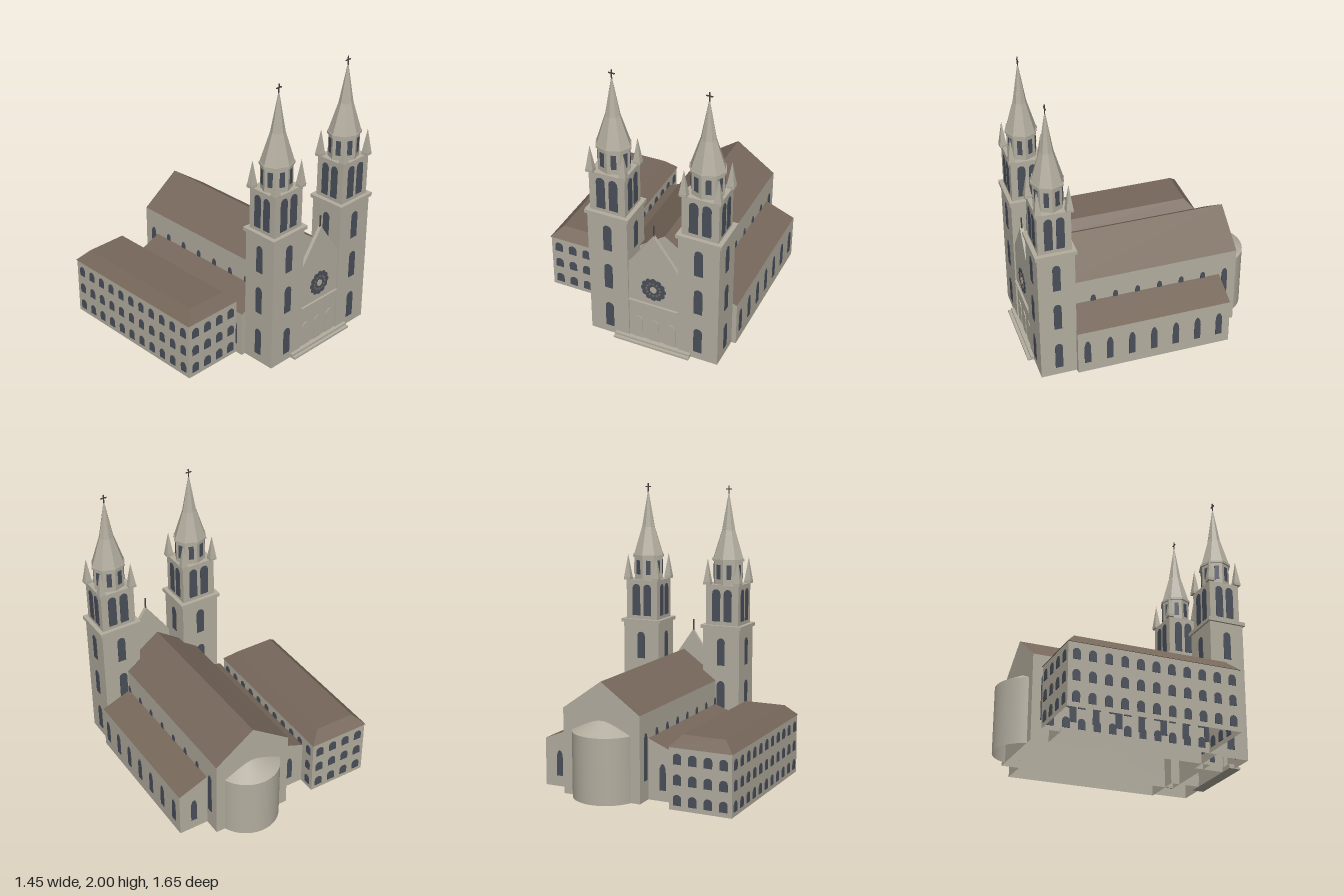
import * as THREE from 'three';

const mat = (name, color) => {
  const m = new THREE.MeshStandardMaterial({ color, side: THREE.DoubleSide });
  m.name = name;
  return m;
};

export function createModel() {
  const stone = mat('stone', 0xb3ad9f);
  const roofing = mat('roofBrown', 0x76675a);
  const glass = mat('windowGlass', 0x4a4f5a);
  const iron = mat('iron', 0x45443f);
  const model = new THREE.Group();
  const NX = 0.22; // axis of the church

  const group = (name, parent = model) => {
    const g = new THREE.Group();
    g.name = name;
    parent.add(g);
    return g;
  };
  const add = (parent, name, geo, m, x = 0, y = 0, z = 0) => {
    const mesh = new THREE.Mesh(geo, m);
    mesh.name = name;
    mesh.position.set(x, y, z);
    parent.add(mesh);
    return mesh;
  };
  const flat = (geo) => {
    const g = geo.index ? geo.toNonIndexed() : geo;
    g.computeVertexNormals();
    return g;
  };
  const block = (parent, name, m, x0, x1, y0, y1, z0, z1) =>
    add(parent, name, new THREE.BoxGeometry(x1 - x0, y1 - y0, z1 - z0), m,
      (x0 + x1) / 2, (y0 + y1) / 2, (z0 + z1) / 2);

  // Box without a floor
  const shell = (w, h, d) => {
    const g = new THREE.BoxGeometry(w, h, d);
    const idx = Array.from(g.index.array);
    idx.splice(18, 6);
    g.setIndex(idx);
    g.clearGroups();
    return g;
  };

  // Floorless building: profile points in x,y run along z; one material per side
  const prism = (parent, name, pts, mats, z0, z1) => {
    const outline = new THREE.Shape(pts.map(([x, y]) => new THREE.Vector2(x, y)));
    add(parent, name + 'FrontWall', new THREE.ShapeGeometry(outline), stone, 0, 0, z1);
    add(parent, name + 'BackWall', new THREE.ShapeGeometry(outline), stone, 0, 0, z0);
    mats.forEach((m, i) => {
      const [ax, ay] = pts[i], [bx, by] = pts[i + 1];
      const g = new THREE.BufferGeometry();
      g.setAttribute('position', new THREE.Float32BufferAttribute(
        [ax, ay, z1, ax, ay, z0, bx, by, z0, ax, ay, z1, bx, by, z0, bx, by, z1], 3));
      g.computeVertexNormals();
      add(parent, name + (m === roofing ? 'Roof' : 'SideWall'), g, m);
    });
  };

  // Arched plate standing on y = 0, centred on its wall plane
  const archGeo = (w, h, rise = w / 2) => {
    const s = new THREE.Shape(), r = w / 2;
    s.moveTo(-r, 0);
    s.lineTo(r, 0);
    for (let i = 0; i <= 6; i++) {
      const a = (i / 6) * Math.PI;
      s.lineTo(r * Math.cos(a), h - rise + rise * Math.sin(a));
    }
    const g = new THREE.ExtrudeGeometry(s, { depth: 0.008, bevelEnabled: false });
    return g.translate(0, 0, -0.004);
  };
  const windowAt = (parent, geo, x, y, z, turn = 0) => {
    add(parent, 'window', geo, glass, x, y, z).rotation.y = turn;
  };
  const Q = Math.PI / 2;

  // Nave
  const nave = group('nave');
  prism(nave, 'nave', [[0.505, 0], [0.505, 0.59], [NX, 0.792], [-0.065, 0.59], [-0.065, 0]],
    [stone, roofing, roofing, stone], -0.677, 0.593);
  const clerestory = archGeo(0.035, 0.07, 0.03), choirWin = archGeo(0.042, 0.32, 0.05);
  for (const x of [0.505, -0.065]) {
    for (let i = 0; i < 7; i++) windowAt(nave, clerestory, x, 0.395, 0.515 - i * 0.158, Q);
    windowAt(nave, choirWin, x, 0.14, -0.595, Q);
  }

  // Side aisles
  const aisleWin = archGeo(0.045, 0.18, 0.06);
  for (const s of [1, -1]) {
    const aisle = group(s > 0 ? 'leftAisle' : 'rightAisle');
    const px = (d) => NX + s * d;
    prism(aisle, 'aisle', [[px(0.5), 0], [px(0.5), 0.33], [px(0.284), 0.417], [px(0.284), 0]],
      [stone, roofing], -0.555, 0.533);
    for (let i = 0; i < 7; i++) windowAt(aisle, aisleWin, px(0.5), 0.075, 0.465 - i * 0.157, Q);
    windowAt(aisle, aisleWin, px(0.39), 0.075, -0.555);
  }

  // Apse: arc of a round wall with a shallow conical cap
  const apse = group('apse');
  const half = 1.21;
  add(apse, 'apseWall', new THREE.CylinderGeometry(0.232, 0.232, 0.45, 24, 1, true,
    Math.PI - half, half * 2), stone, NX, 0.225, -0.595);
  add(apse, 'apseRoof', new THREE.ConeGeometry(0.232, 0.124, 24, 1, true,
    Math.PI - half, half * 2), stone, NX, 0.512, -0.595);

  // Front wall with gable, rose window, portals and steps
  const front = group('facade');
  const gable = new THREE.Shape([[0.03, 0], [0.41, 0], [0.41, 0.642], [NX, 0.912], [0.03, 0.642]]
    .map(([x, y]) => new THREE.Vector2(x, y)));
  add(front, 'gableWall', new THREE.ExtrudeGeometry(gable, { depth: 0.025, bevelEnabled: false }),
    stone, 0, 0, 0.745);
  block(front, 'stringCourse', stone, 0.04, 0.40, 0.332, 0.346, 0.765, 0.786);
  block(front, 'finial', iron, NX - 0.004, NX + 0.004, 0.9, 0.99, 0.753, 0.761);
  for (const dx of [-0.12, 0, 0.12]) add(front, 'portal', archGeo(0.075, 0.19), stone, NX + dx, 0.02, 0.771);
  block(front, 'lowerStep', stone, -0.06, 0.495, 0, 0.015, 0.74, 0.825);
  block(front, 'upperStep', stone, -0.06, 0.495, 0.015, 0.03, 0.74, 0.803);

  const rose = group('roseWindow', front);
  rose.position.set(NX, 0.475, 0.771);
  const disc = (name, r, m, x, y, z) =>
    add(rose, name, new THREE.CylinderGeometry(r, r, 0.004, 16).rotateX(Q), m, x, y, z);
  disc('roseGlass', 0.076, glass, 0, 0, 0);
  disc('roseHub', 0.024, stone, 0, 0, 0.005);
  for (let i = 0; i < 12; i++) {
    const a = (i / 12) * Math.PI * 2;
    disc('rosePetal', 0.021, glass, 0.07 * Math.cos(a), 0.07 * Math.sin(a), 0.002);
    disc('rosePane', 0.008, roofing, 0.05 * Math.cos(a), 0.05 * Math.sin(a), 0.005);
  }

  // Twin towers
  const tallWin = archGeo(0.06, 0.2), belfryWin = archGeo(0.062, 0.235);
  const slot = new THREE.BoxGeometry(0.036, 0.105, 0.008);
  const makeTower = (name, x) => {
    const t = group(name);
    t.position.set(x, 0, 0.655);
    t.scale.z = 0.88;
    add(t, 'shaft', shell(0.286, 0.98, 0.286), stone, 0, 0.49, 0);
    add(t, 'cornice', new THREE.BoxGeometry(0.316, 0.026, 0.316), stone, 0, 0.985, 0);
    add(t, 'belfry', new THREE.BoxGeometry(0.254, 0.3, 0.254), stone, 0, 1.142, 0);
    for (let i = 0; i < 4; i++) {
      const side = group('towerSide', t);
      side.rotation.y = i * Q;
      for (const y of [0.06, 0.39, 0.705]) windowAt(side, tallWin, 0, y, 0.143);
      for (const dx of [-0.045, 0.045]) windowAt(side, belfryWin, dx, 1.025, 0.127);
      // Corner pinnacle
      add(side, 'pinnacleBase', new THREE.BoxGeometry(0.052, 0.02, 0.052), stone, 0.117, 1.3, 0.117);
      const spike = flat(new THREE.ConeGeometry(0.035, 0.17, 4).rotateY(Math.PI / 4));
      add(side, 'pinnacle', spike, stone, 0.117, 1.395, 0.117);
    }
    // Octagonal lantern
    add(t, 'lantern', flat(new THREE.CylinderGeometry(0.113, 0.113, 0.17, 8)), stone, 0, 1.375, 0);
    for (let i = 0; i < 8; i++) {
      const face = group('lanternFace', t);
      face.rotation.y = (i + 0.5) * Math.PI / 4;
      add(face, 'lanternWindow', slot, glass, 0, 1.382, 0.1044);
    }
    add(t, 'lanternRing', flat(new THREE.CylinderGeometry(0.125, 0.125, 0.016, 8)), stone, 0, 1.466, 0);
    // Spire in two slopes, with a cross
    const profile = [[0.119, 1.474], [0.052, 1.68], [0.003, 1.945]].map(([r, y]) => new THREE.Vector2(r, y));
    add(t, 'spire', flat(new THREE.LatheGeometry(profile, 8)), stone);
    add(t, 'crossPost', new THREE.BoxGeometry(0.007, 0.07, 0.007), iron, 0, 1.965, 0);
    add(t, 'crossArm', new THREE.BoxGeometry(0.044, 0.007, 0.007), iron, 0, 1.975, 0);
  };
  makeTower('rightTower', -0.105);
  makeTower('leftTower', 0.545);

  // Adjoining house with a flat-topped hipped roof
  const house = group('house');
  const hx = -0.498, hz = -0.102, hw = 0.438, hd = 1.16;
  add(house, 'houseWalls', shell(hw, 0.415, hd), stone, hx, 0.2075, hz);
  const hip = shell(hw + 0.012, 0.075, hd + 0.012);
  const p = hip.attributes.position;
  for (let i = 0; i < p.count; i++) {
    if (p.getY(i) > 0) p.setXYZ(i, Math.sign(p.getX(i)) * 0.148, p.getY(i), Math.sign(p.getZ(i)) * 0.518);
  }
  add(house, 'houseRoof', flat(hip), roofing, hx, 0.4525, hz);
  const houseWin = archGeo(0.058, 0.072, 0.025), sideWin = archGeo(0.05, 0.072, 0.025);
  for (const y of [0.032, 0.168, 0.305]) {
    for (let i = 0; i < 4; i++) {
      for (const s of [-1, 1]) windowAt(house, houseWin, hx + (i - 1.5) * 0.108, y, hz + s * hd / 2);
    }
    for (let i = 0; i < 11; i++) {
      for (const s of [-1, 1]) windowAt(house, sideWin, hx + s * hw / 2, y, hz + (i - 5) * 0.105, Q);
    }
  }
  return model;
}
